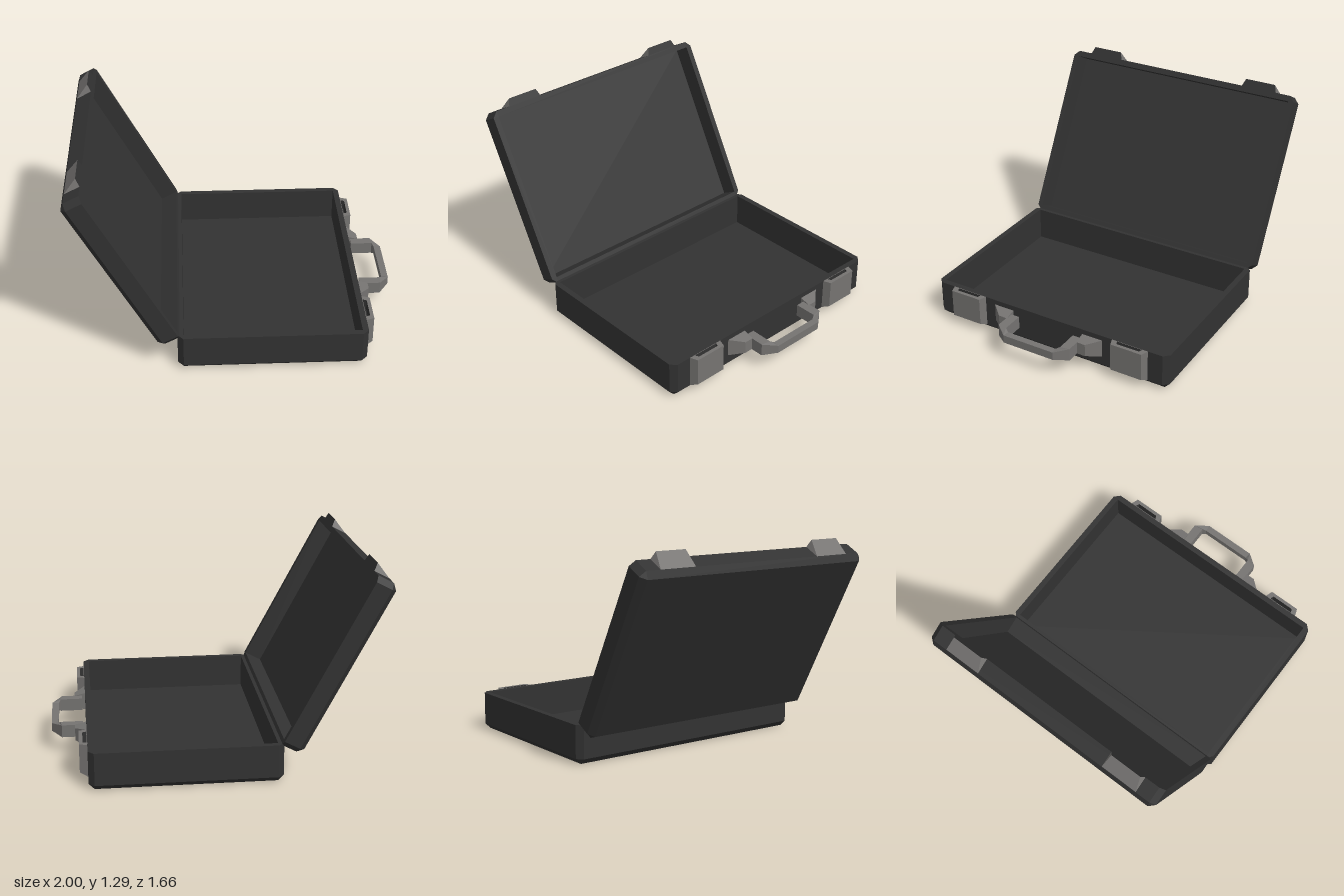
import * as THREE from 'three';

// Joins closed loops of points into a flat-faced skin, skipping collapsed triangles.
function loft(loops, capStart, capEnd) {
  const pos = [];
  const tri = (a, b, c) => {
    const [A, B, C] = [a, b, c].map((p) => new THREE.Vector3(...p));
    if (B.clone().sub(A).cross(C.clone().sub(A)).length() > 1e-8) pos.push(...a, ...b, ...c);
  };
  for (let k = 0; k < loops.length - 1; k++) {
    const a = loops[k], b = loops[k + 1], n = a.length;
    for (let i = 0; i < n; i++) {
      const j = (i + 1) % n;
      tri(a[i], a[j], b[j]);
      tri(a[i], b[j], b[i]);
    }
  }
  const first = loops[0], last = loops[loops.length - 1];
  for (let i = 1; i < first.length - 1; i++) {
    if (capStart) tri(first[0], first[i + 1], first[i]);
    if (capEnd) tri(last[0], last[i], last[i + 1]);
  }
  const g = new THREE.BufferGeometry();
  g.setAttribute('position', new THREE.Float32BufferAttribute(pos, 3));
  g.computeVertexNormals();
  return g;
}

// Horizontal rectangle with cut corners
function cutRect(hx, hz, c, y) {
  const x = hx - c, z = hz - c;
  return [[x, y, hz], [hx, y, z], [hx, y, -z], [x, y, -hz],
    [-x, y, -hz], [-hx, y, -z], [-hx, y, z], [-x, y, hz]];
}

// Open chamfered tray with thin walls, standing on y = 0
function trayGeometry(length, width, height) {
  const hx = length / 2, hz = width / 2, c = 0.035, wall = 0.037, floor = 0.022;
  return loft([
    cutRect(hx - c, hz - c, 0, 0),
    cutRect(hx, hz, c, c),
    cutRect(hx, hz, c, height),
    cutRect(hx - wall, hz - wall, 0, height),
    cutRect(hx - wall, hz - wall, 0, floor),
  ], true, true);
}

// Latch cross-section: wide at the case wall (x = 0), narrower at the front
const latchLoop = (x0, x1, backZ, frontZ, y) =>
  [[x1, y, frontZ], [x1, y, -frontZ], [x0, y, -backZ], [x0, y, backZ]];

export function createModel() {
  const leather = new THREE.MeshStandardMaterial({ color: 0x323232 });
  leather.name = 'dark case';
  const metal = new THREE.MeshStandardMaterial({ color: 0x757371 });
  metal.name = 'grey metal';

  const add = (parent, name, geometry, material) => {
    const m = new THREE.Mesh(geometry, material);
    m.name = name;
    parent.add(m);
    return m;
  };

  const model = new THREE.Group();
  model.name = 'openBriefcase';

  // Lower half of the case
  const base = add(model, 'baseTray', trayGeometry(1.16, 1.66, 0.24), leather);
  base.position.x = 0.205;

  // Lid, swung open about the back edge
  const lid = new THREE.Group();
  lid.name = 'lid';
  lid.position.set(-0.75, 0.674, 0);
  lid.rotation.z = -1.082;
  model.add(lid);
  add(lid, 'lidTray', trayGeometry(1.155, 1.66, 0.14), leather);

  for (const side of [1, -1]) {
    // Latch body on the base, with a pocket in its top
    const latch = new THREE.Group();
    latch.name = 'baseLatch';
    latch.position.set(0.784, 0, side * 0.577);
    model.add(latch);
    const mouth = latchLoop(0.004, 0.028, 0.085, 0.075, 0.24);
    add(latch, 'latchShell', loft([
      latchLoop(0, 0, 0.121, 0.121, 0.035),
      latchLoop(0, 0.05, 0.121, 0.104, 0.06),
      latchLoop(0, 0.05, 0.121, 0.104, 0.24),
      mouth,
    ], false, false), metal);
    add(latch, 'latchPocket', loft([
      mouth, latchLoop(0.004, 0.028, 0.085, 0.075, 0.17),
    ], false, true), leather);

    // Matching wedge on the free edge of the lid
    const hook = new THREE.Group();
    hook.name = 'lidLatch';
    hook.position.set(-0.577, 0, side * 0.577);
    hook.rotation.y = Math.PI;
    lid.add(hook);
    const face = latchLoop(0, 0.049, 0.121, 0.102, 0.14);
    add(hook, 'hookShell', loft([
      latchLoop(0, 0, 0.121, 0.121, 0.035), face,
    ], false, false), metal);
    add(hook, 'hookFace', loft([face], false, true), leather);

    // Tapered handle mount
    const mountLoop = (x, zOut, zIn, h) => {
      const lo = Math.min(side * zOut, side * zIn), hi = Math.max(side * zOut, side * zIn);
      return [[x, 0.15 + h, hi], [x, 0.15 - h, hi], [x, 0.15 - h, lo], [x, 0.15 + h, lo]];
    };
    add(model, 'handleMount', loft([
      mountLoop(0.783, 0.39, 0.25, 0.058),
      mountLoop(0.855, 0.31, 0.25, 0.04),
    ], true, true), metal);
  }

  // Handle: outer x, outer z, inner x, inner z, half height; mirrored along the grip
  const stations = [
    [0.805, 0.255, 0.805, 0.195, 0.04],
    [0.937, 0.255, 0.945, 0.195, 0.04],
    [1.0, 0.175, 0.957, 0.17, 0.026],
  ];
  const gripLoop = ([ox, oz, ix, iz, h], s) =>
    [[ox, 0.15 + h, s * oz], [ox, 0.15 - h, s * oz], [ix, 0.15 - h, s * iz], [ix, 0.15 + h, s * iz]];
  add(model, 'handle', loft([
    ...stations.map((p) => gripLoop(p, 1)),
    ...stations.slice().reverse().map((p) => gripLoop(p, -1)),
  ], true, true), metal);

  return model;
}
